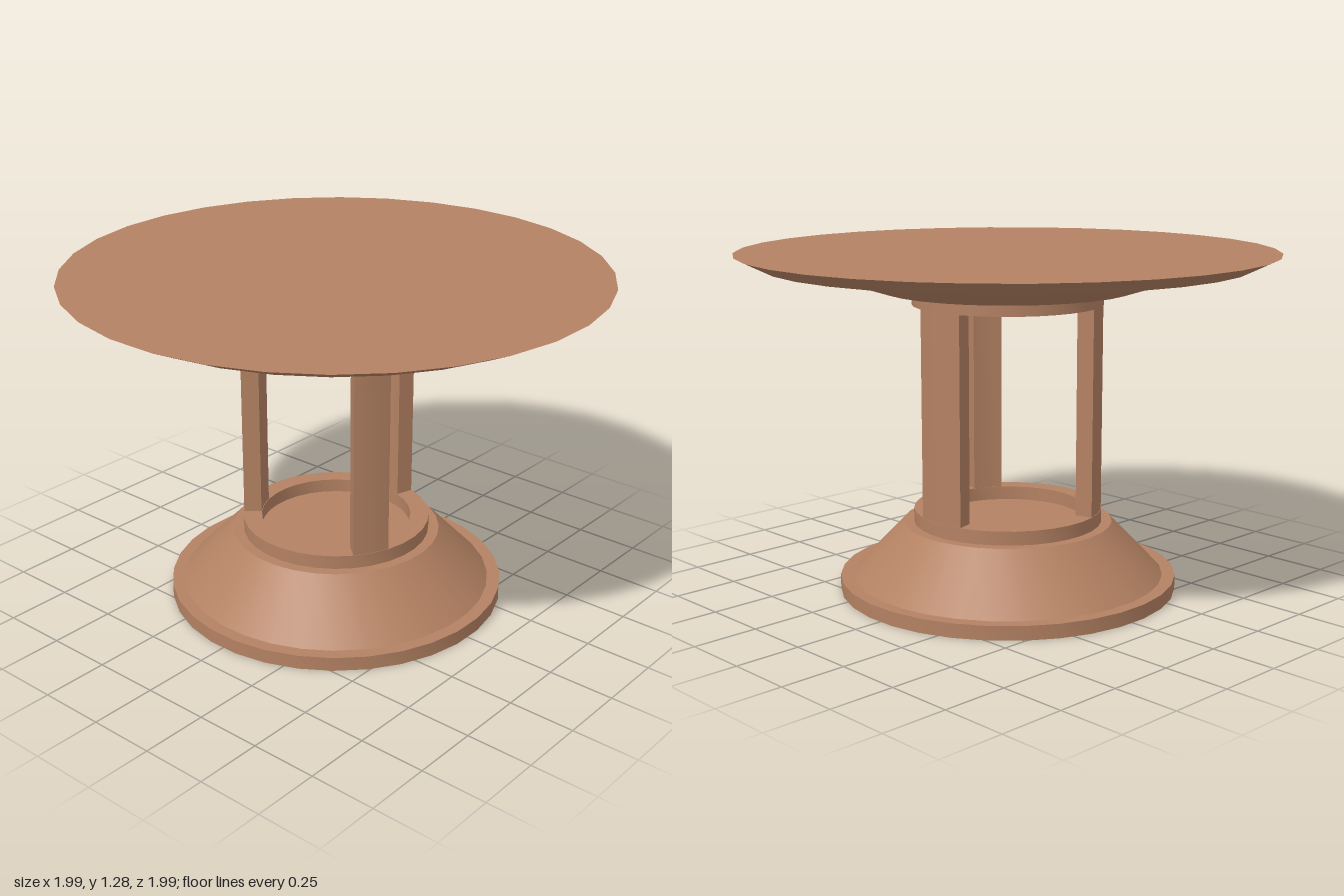
import * as THREE from 'three';
import { toCreasedNormals } from 'three/addons/utils/BufferGeometryUtils.js';

const SIDES = 32;
const STEP = (Math.PI * 2) / SIDES;
const FLAT = 1 / Math.cos(STEP / 2); // corner radius for a given flat-to-centre radius
const CREASE = 0.25;

const wood = new THREE.MeshStandardMaterial({ color: 0xb38162 });
wood.name = 'warm brown wood';

function addPart(group, name, geometry) {
  const mesh = new THREE.Mesh(toCreasedNormals(geometry, CREASE), wood);
  mesh.name = name;
  group.add(mesh);
}

// Turned solid from a [radius, height] profile, listed bottom to top
function turned(profile) {
  const points = profile.map(([r, y]) => new THREE.Vector2(r * FLAT, y));
  return new THREE.LatheGeometry(points, SIDES, STEP / 2);
}

const RING_OUT = 0.355, RING_IN = 0.285;

function ring(y0, y1) {
  return turned([[RING_IN, y0], [RING_OUT, y0], [RING_OUT, y1], [RING_IN, y1], [RING_IN, y0]]);
}

// Curved post following the ring, spanning facets first..first+count
function post(first, count, y0, y1) {
  const points = [];
  const add = (r, i) => {
    const a = STEP * (i + 0.5);
    points.push(new THREE.Vector2(Math.sin(a) * r * FLAT, -Math.cos(a) * r * FLAT));
  };
  for (let i = 0; i <= count; i++) add(RING_OUT - 0.002, first + i);
  for (let i = count; i >= 0; i--) add(RING_IN + 0.002, first + i);
  const geometry = new THREE.ExtrudeGeometry(new THREE.Shape(points), { depth: y1 - y0, bevelEnabled: false });
  return geometry.rotateX(-Math.PI / 2).translate(0, y0, 0);
}

export function createModel() {
  const table = new THREE.Group();
  table.name = 'pedestalTable';

  // Stepped foot with sloping plinth
  addPart(table, 'base', turned([
    [0, 0], [0.636, 0], [0.636, 0.053], [0.588, 0.053], [0.395, 0.256], [0, 0.256],
  ]));

  // Rings that hold the posts
  addPart(table, 'lowerRing', ring(0.256, 0.308));
  addPart(table, 'upperRing', ring(1.085, 1.14));

  // One wide post at the back, two narrower ones toward the front
  addPart(table, 'backPost', post(14, 3, 0.308, 1.085));
  addPart(table, 'leftPost', post(4, 2, 0.308, 1.085));
  addPart(table, 'rightPost', post(25, 2, 0.308, 1.085));

  // Round top with a tapered underside and bevelled rim
  addPart(table, 'tabletop', turned([
    [0, 1.14], [0.468, 1.14], [0.76, 1.233], [0.9, 1.233], [0.997, 1.28], [0, 1.28],
  ]));

  return table;
}
